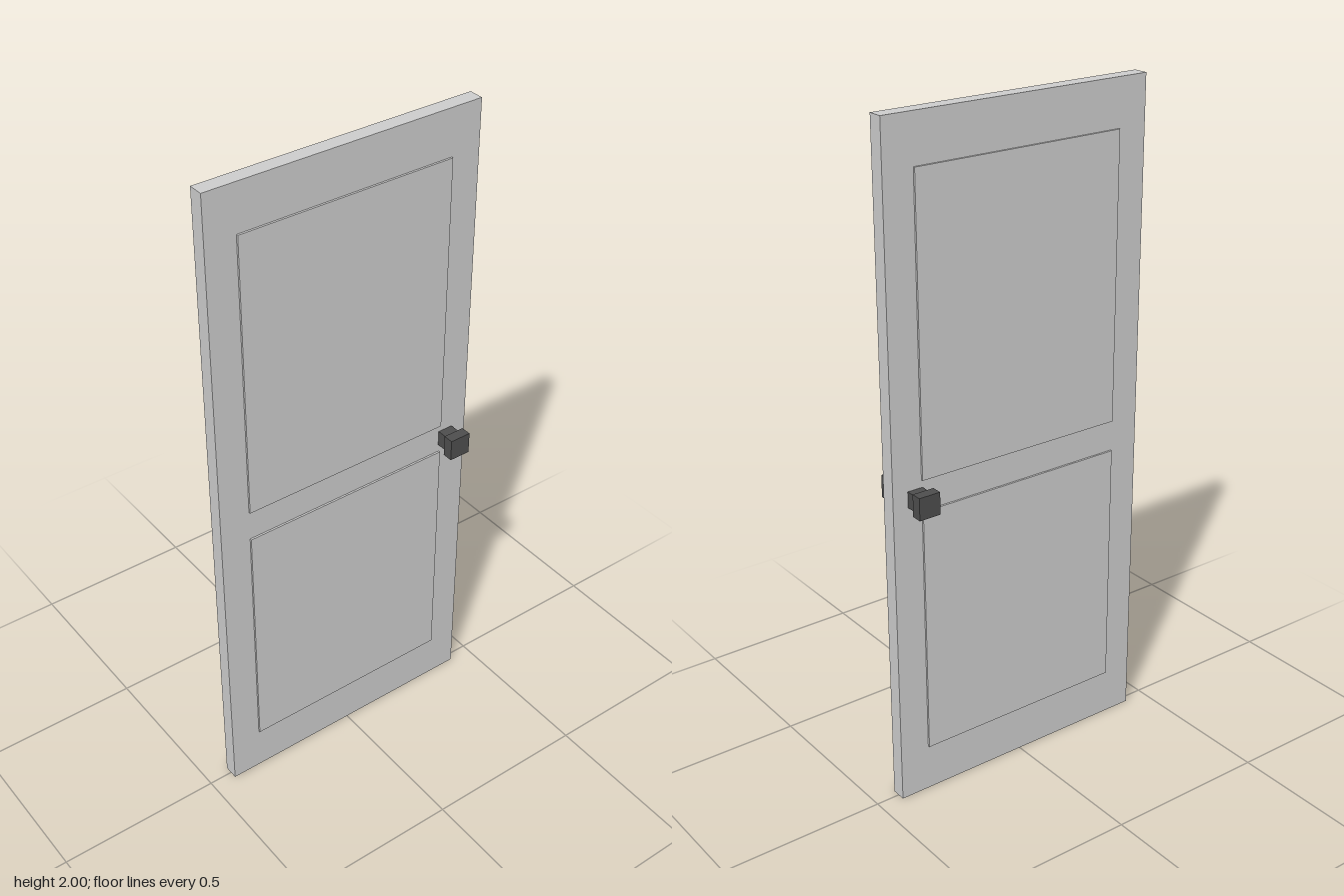
import * as THREE from 'three';

export function createModel() {
  const model = new THREE.Group();
  const doorMat = new THREE.MeshStandardMaterial({ color: 0xcccccc });
  const knobMat = new THREE.MeshStandardMaterial({ color: 0x4d4d4d });

  const addBox = (name, size, position, material) => {
    const mesh = new THREE.Mesh(new THREE.BoxGeometry(...size), material);
    mesh.name = name;
    mesh.position.set(...position);
    model.add(mesh);
  };

  // Door slab
  addBox('doorSlab', [0.854, 2, 0.045], [0, 1, 0], doorMat);

  // Raised panels and square handles, alike on both faces
  for (const [side, s] of [['front', 1], ['back', -1]]) {
    addBox(side + 'UpperPanel', [0.668, 0.86, 0.006], [0, 1.43, s * 0.0255], doorMat);
    addBox(side + 'LowerPanel', [0.668, 0.762, 0.006], [0, 0.525, s * 0.0255], doorMat);
    addBox(side + 'HandleStem', [0.048, 0.048, 0.039], [0.355, 0.954, s * 0.042], knobMat);
    addBox(side + 'HandleKnob', [0.067, 0.067, 0.032], [0.355, 0.954, s * 0.0765], knobMat);
  }

  return model;
}
